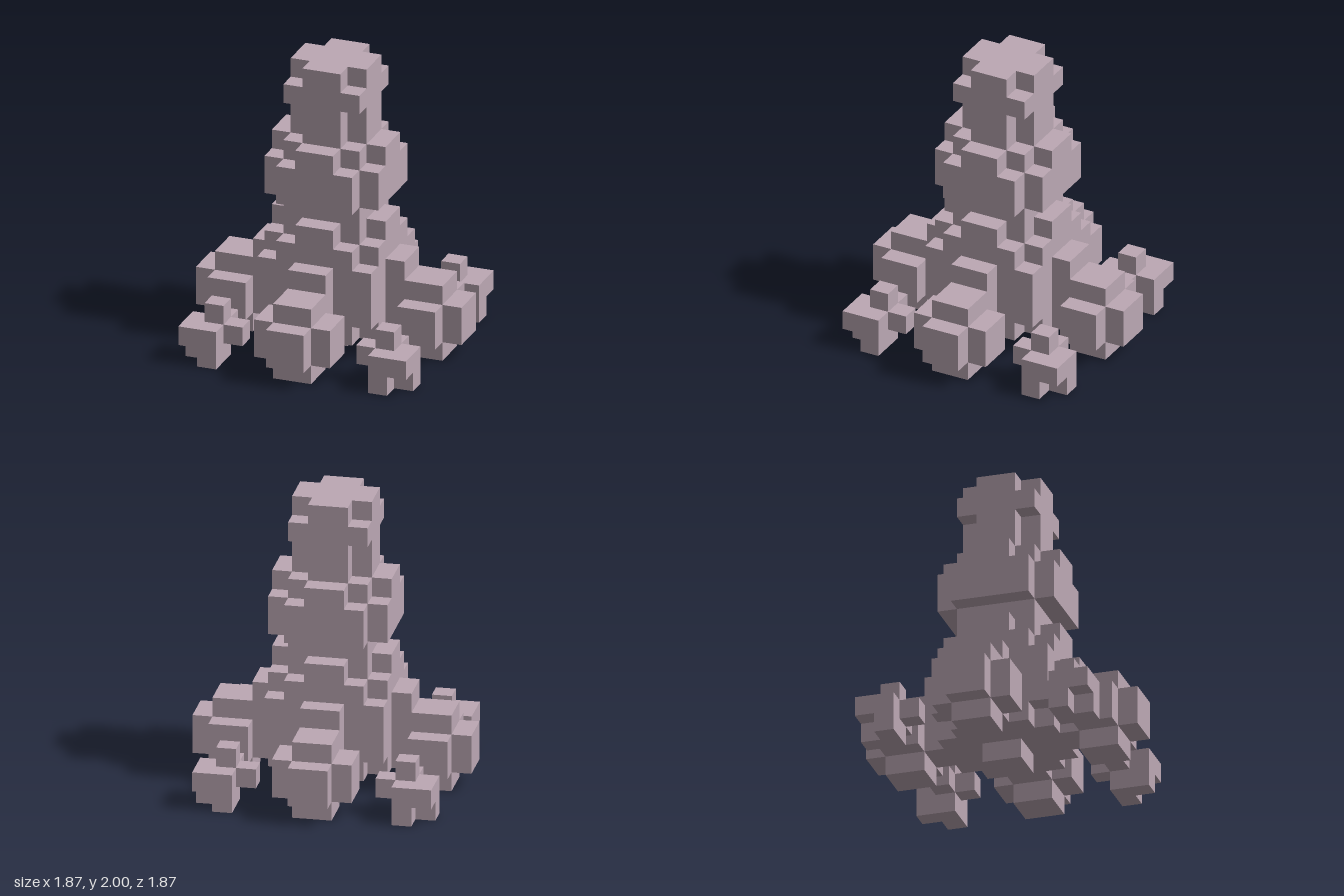
import * as THREE from 'three';

const U = 2 / 15; // one block

export function createModel() {
  const model = new THREE.Group();
  const stone = new THREE.MeshStandardMaterial({ color: 0xbca8b4 });

  const group = (name, parent = model) => {
    const g = new THREE.Group();
    g.name = name;
    parent.add(g);
    return g;
  };

  // Box given by its block ranges
  const box = (parent, name, [x0, x1], [y0, y1], [z0, z1]) => {
    const geo = new THREE.BoxGeometry((x1 - x0) * U, (y1 - y0) * U, (z1 - z0) * U);
    const mesh = new THREE.Mesh(geo, stone);
    mesh.name = name;
    mesh.position.set((x0 + x1) / 2 * U, (y0 + y1) / 2 * U, (z0 + z1) / 2 * U);
    parent.add(mesh);
  };

  // Centred square slab, and plus-shaped slab made of two crossing bars
  const slab = (parent, name, r, y0, y1) => box(parent, name, [-r, r], [y0, y1], [-r, r]);
  const cross = (parent, name, long, short, y0, y1) => {
    box(parent, name, [-long, long], [y0, y1], [-short, short]);
    box(parent, name, [-short, short], [y0, y1], [-long, long]);
  };

  // Stepped lower body
  const body = group('body');
  slab(body, 'centreFoot', 1, 0, 1);
  cross(body, 'bodyBase', 3, 2, 1, 2);
  slab(body, 'bodyBlock', 3, 2, 5);
  cross(body, 'bodyStep', 3, 2, 5, 6);
  cross(body, 'bodyTop', 3, 1, 6, 7);
  cross(body, 'buttress', 4, 1, 1, 5);
  slab(body, 'neck', 2, 6, 8);

  // Wide collar
  const collar = group('collar');
  cross(collar, 'collarBlock', 3, 2, 8, 10);
  cross(collar, 'collarTop', 3, 1, 10, 11);
  slab(collar, 'collarCore', 2, 10, 11);

  // Upper tower with its projecting band
  const tower = group('tower');
  cross(tower, 'towerShaft', 2, 1, 11, 15);
  slab(tower, 'towerBand', 2, 13, 14);

  for (let i = 0; i < 4; i++) {
    // Rounded side lobe
    const lobe = group('sideLobe');
    box(lobe, 'lobeBlock', [-2, 2], [1, 3], [4, 6]);
    box(lobe, 'lobeUpright', [-1, 1], [0, 4], [4, 6]);
    box(lobe, 'lobeFront', [-1, 1], [1, 3], [3, 7]);

    // Small detached corner cluster
    const corner = group('cornerCluster');
    box(corner, 'cornerSlab', [4, 6], [1, 2], [4, 6]);
    box(corner, 'cornerPost', [4, 5], [0, 3], [4, 5]);
    box(corner, 'cornerArm', [3, 4], [1, 2], [4, 5]);
    box(corner, 'cornerArm', [4, 5], [1, 2], [3, 4]);
    box(corner, 'cornerFoot', [5, 6], [0, 1], [4, 5]);
    box(corner, 'cornerFoot', [4, 5], [0, 1], [5, 6]);

    lobe.rotation.y = corner.rotation.y = i * Math.PI / 2;
  }
  return model;
}
